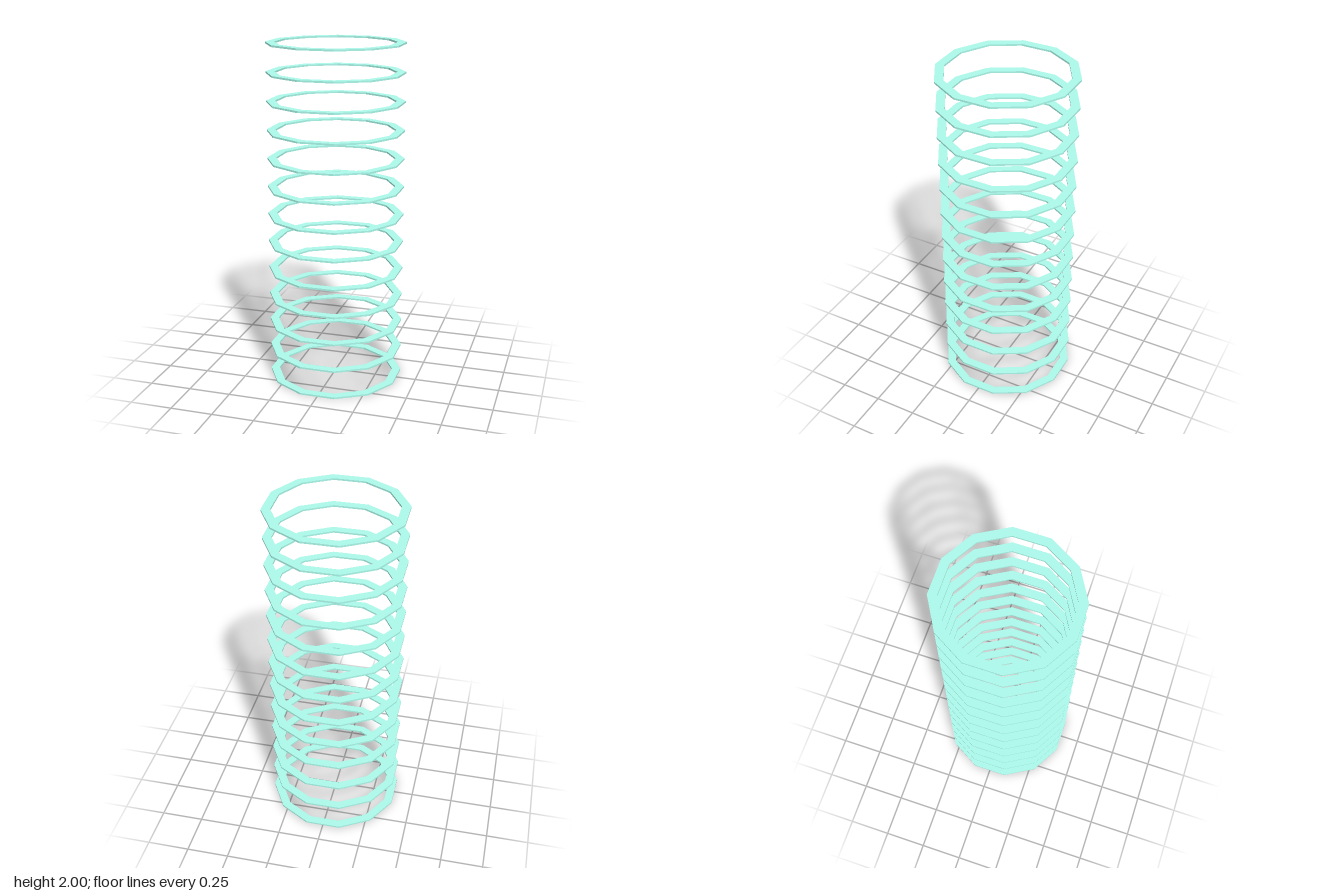
import * as THREE from 'three';

const RINGS = 13, SIDES = 12, HEIGHT = 2, THICKNESS = 0.01;
const OUTER = 0.383, INNER = 0.334; // distances to the flat sides

export function createModel() {
  const group = new THREE.Group();
  group.name = 'ringStack';
  const material = new THREE.MeshStandardMaterial({ color: 0xaaf8ea, flatShading: true });

  // Twelve-sided flat band with a rectangular section, flats facing the axes
  const toCorner = 1 / Math.cos(Math.PI / SIDES);
  const ro = OUTER * toCorner, ri = INNER * toCorner, h = THICKNESS / 2;
  const section = [[ro, -h], [ro, h], [ri, h], [ri, -h], [ro, -h]]
    .map(([r, y]) => new THREE.Vector2(r, y));
  const geometry = new THREE.LatheGeometry(section, SIDES, Math.PI / SIDES);

  // Evenly spaced rings from the ground to the top
  const pitch = (HEIGHT - THICKNESS) / (RINGS - 1);
  for (let i = 0; i < RINGS; i++) {
    const ring = new THREE.Mesh(geometry, material);
    ring.name = `ring${i + 1}`;
    ring.position.y = h + i * pitch;
    group.add(ring);
  }
  return group;
}
